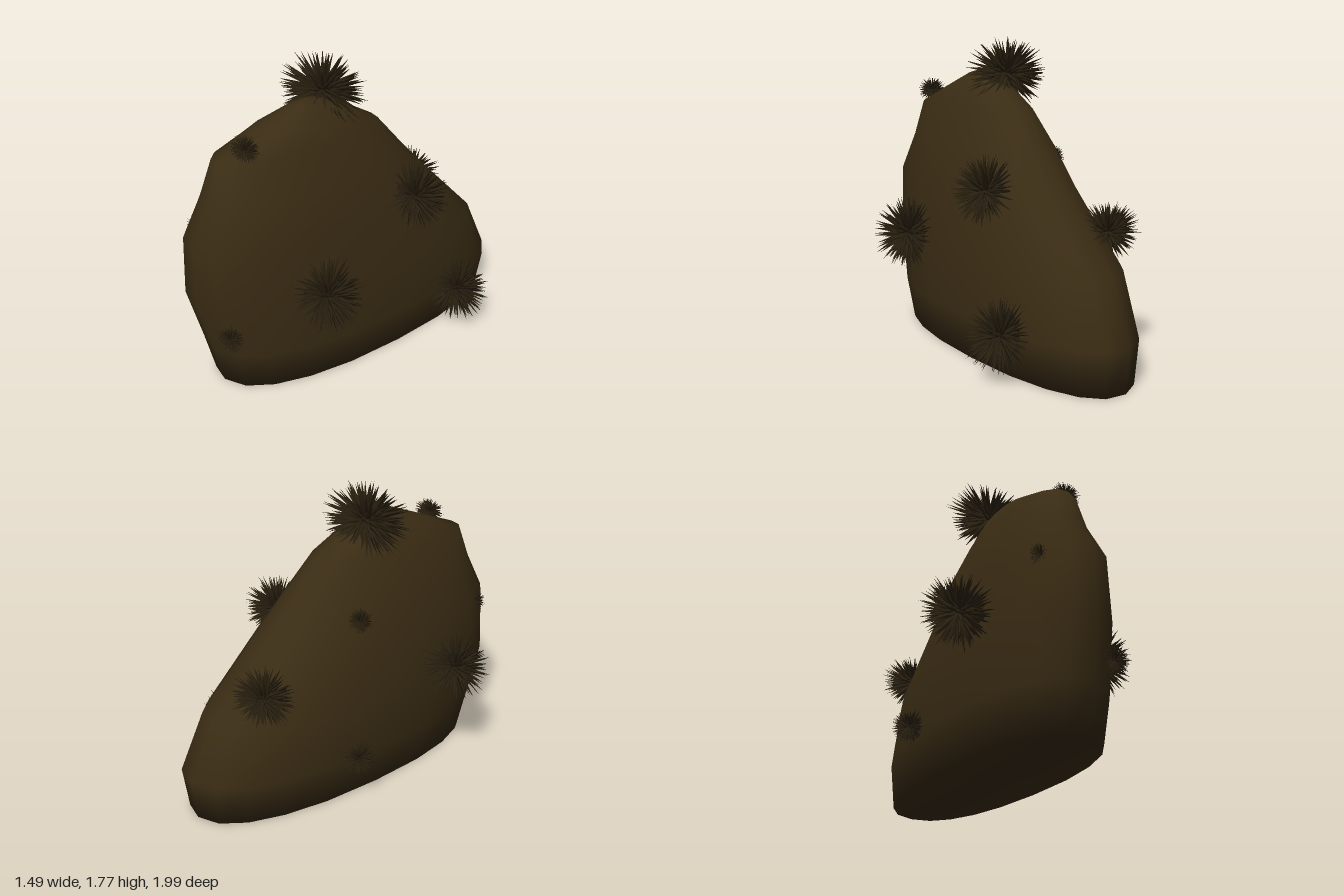
import * as THREE from 'three';
import { mergeGeometries } from 'three/addons/utils/BufferGeometryUtils.js';

const mat = (name, color) => Object.assign(new THREE.MeshStandardMaterial({ color }), { name });

// Boulder: tilted superelliptic rings stacked from the ground to the crest
function boulderGeometry() {
  // y, front z, back z, min x, max x
  const rings = [
    [0, 0.87, -0.98, -0.37, 0.44],
    [0.25, 0.92, -1.0, -0.41, 0.48],
    [0.58, 0.99, -0.86, -0.44, 0.43],
    [0.94, 0.98, -0.52, -0.4, 0.34],
    [1.16, 0.86, -0.33, -0.355, 0.26],
    [1.36, 0.8, -0.17, -0.28, 0.17],
    [1.46, 0.56, -0.01, -0.21, 0.11],
    [1.55, 0.34, 0.17, -0.1, 0.02],
  ];
  const sides = 20, power = 2.3, q = power / (power - 1), tilt = 0.2;
  const bend = (v) => Math.sign(v) * Math.abs(v) ** (2 / power);
  const pos = [], index = [];
  for (const [y, zf, zb, x0, x1] of rings) {
    const len = (zf - zb) / 2, half = (x1 - x0) / 2;
    const width = (half ** q - (tilt * len) ** q) ** (1 / q);
    for (let i = 0; i < sides; i++) {
      const a = (i / sides) * Math.PI * 2;
      const u = bend(Math.sin(a)), v = bend(Math.cos(a));
      pos.push((x0 + x1) / 2 + width * u - tilt * len * v, y, (zf + zb) / 2 + len * v);
    }
  }
  for (let r = 0; r < rings.length - 1; r++) {
    for (let i = 0; i < sides; i++) {
      const a = r * sides + i, b = r * sides + ((i + 1) % sides);
      index.push(a, b, b + sides, a, b + sides, a + sides);
    }
  }
  // Base and crest caps
  const base = pos.length / 3, crest = base + 1, last = (rings.length - 1) * sides;
  pos.push(0.04, 0, -0.05, -0.04, 1.57, 0.26);
  for (let i = 0; i < sides; i++) {
    const j = (i + 1) % sides;
    index.push(base, j, i, crest, last + i, last + j);
  }
  const g = new THREE.BufferGeometry();
  g.setAttribute('position', new THREE.Float32BufferAttribute(pos, 3));
  g.setIndex(index);
  g.computeVertexNormals();
  return g;
}

// Unit tuft: thin spikes radiating evenly in every direction
function tuftGeometry(count = 210) {
  let seed = 7;
  const rand = () => (seed = (seed * 16807) % 2147483647) / 2147483647;
  const up = new THREE.Vector3(0, 1, 0), spikes = [];
  for (let i = 0; i < count; i++) {
    const y = 1 - (2 * (i + 0.5)) / count, r = Math.sqrt(1 - y * y), a = i * 2.39996;
    const dir = new THREE.Vector3(
      r * Math.cos(a) + (rand() - 0.5) * 0.2, y + (rand() - 0.5) * 0.2, r * Math.sin(a) + (rand() - 0.5) * 0.2,
    ).normalize();
    const h = 0.84 + rand() * 0.2;
    const spike = new THREE.ConeGeometry(0.09, h, 4, 1, true).translate(0, h / 2, 0);
    spikes.push(spike.applyQuaternion(new THREE.Quaternion().setFromUnitVectors(up, dir)));
  }
  return mergeGeometries(spikes);
}

export function createModel() {
  const group = new THREE.Group();
  const stone = mat('dark brown stone', 0x3a2c14);
  const spine = mat('dark olive spines', 0x2a2110);

  const boulder = new THREE.Mesh(boulderGeometry(), stone);
  boulder.name = 'boulder';
  group.add(boulder);

  // Tufts: name, centre, radii
  const tufts = [
    ['crestTuft', [-0.08, 1.55, 0.09], [0.29, 0.22, 0.2]],
    ['rightTuft', [-0.53, 0.69, 0.37], [0.22, 0.21, 0.19]],
    ['leftFrontTuft', [0.32, 0.62, 0.51], [0.22, 0.23, 0.19]],
    ['leftMiddleTuft', [0.37, 0.96, -0.16], [0.22, 0.21, 0.175]],
    ['leftBackTuft', [0.53, 0.26, -0.41], [0.22, 0.21, 0.175]],
    ['backTuft', [-0.03, 0.75, -0.67], [0.21, 0.17, 0.165]],
    ['upperFrontBud', [-0.06, 1.43, 0.69], [0.1, 0.08, 0.07]],
    ['lowerFrontBud', [-0.01, 0.4, 0.92], [0.09, 0.09, 0.065]],
    ['rightFrontBud', [-0.36, 0.9, 0.79], [0.07, 0.08, 0.06]],
    ['rightLowBud', [-0.35, 0.29, -0.26], [0.1, 0.1, 0.1]],
    ['rightHighBud', [-0.23, 1.07, -0.13], [0.08, 0.08, 0.07]],
  ];
  const tuft = tuftGeometry();
  tufts.forEach(([name, p, s], i) => {
    const m = new THREE.Mesh(tuft, spine);
    m.name = name;
    m.position.set(...p);
    m.scale.set(...s);
    m.rotation.y = (i % 2) * Math.PI;
    group.add(m);
  });
  return group;
}
